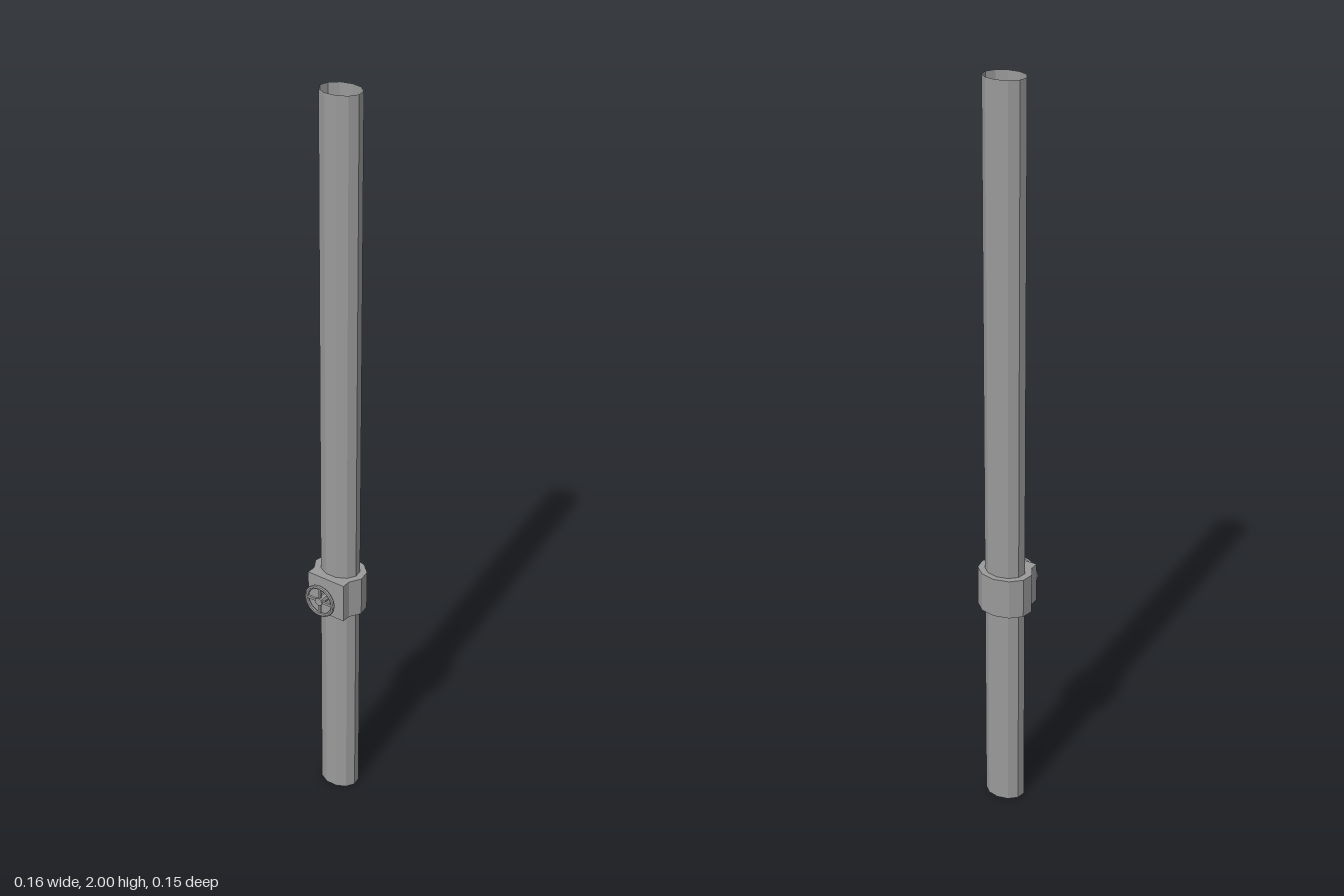
import * as THREE from 'three';

const SIDES = 11, CX = 0.018;

// Point i of an eleven-sided oval centred on the pipe axis
const ovalPoint = (i, rx, rz) => {
  const a = (i / SIDES) * Math.PI * 2;
  return new THREE.Vector2(CX + rx * Math.cos(a), rz * Math.sin(a));
};

export function createModel() {
  const model = new THREE.Group();
  model.name = 'pipeWithValve';
  const color = 0x9a9a9a;
  const solid = new THREE.MeshStandardMaterial({ color, flatShading: true });
  const thin = new THREE.MeshStandardMaterial({ color, flatShading: true, side: THREE.DoubleSide });

  const add = (parent, name, geometry, material = solid) => {
    const mesh = new THREE.Mesh(geometry, material);
    mesh.name = name;
    parent.add(mesh);
    return mesh;
  };

  // Open thin-walled pipe; the quarter turn puts a corner on +x
  const pipe = new THREE.CylinderGeometry(1, 1, 2, SIDES, 1, true);
  pipe.rotateY(Math.PI / 2).scale(0.0438, 1, 0.0555).translate(CX, 1, 0);
  add(model, 'pipe', pipe, thin);

  // Collar: oval outside with a squared-off valve face on -x, bored for the pipe
  const outline = [];
  for (let i = -4; i <= 4; i++) outline.push(ovalPoint(i, 0.0595, 0.075));
  outline.push(new THREE.Vector2(-0.046, 0.057), new THREE.Vector2(-0.046, -0.057));
  const collarShape = new THREE.Shape(outline);
  const bore = [];
  for (let i = 0; i < SIDES; i++) bore.push(ovalPoint(-i, 0.044, 0.0558));
  collarShape.holes.push(new THREE.Path(bore));
  const collar = new THREE.ExtrudeGeometry(collarShape, { depth: 0.11, bevelEnabled: false });
  collar.rotateX(-Math.PI / 2).translate(0, 0.592, 0);
  add(model, 'collar', collar);

  // Handwheel facing -x
  const wheel = new THREE.Group();
  wheel.name = 'handwheel';
  wheel.position.set(-0.072, 0.648, 0);
  model.add(wheel);
  add(wheel, 'rim', new THREE.TorusGeometry(0.0415, 0.0055, 8, 16).rotateY(Math.PI / 2));
  add(wheel, 'hub', new THREE.CylinderGeometry(0.0115, 0.0115, 0.012, 8).rotateZ(Math.PI / 2));
  const stem = add(wheel, 'stem', new THREE.CylinderGeometry(0.0115, 0.0115, 0.03, 8).rotateZ(Math.PI / 2));
  stem.position.x = 0.014;
  for (let i = 0; i < 4; i++) {
    const spoke = new THREE.BoxGeometry(0.006, 0.034, 0.007).translate(0, 0.024, 0);
    add(wheel, 'spoke', spoke.rotateX((i * Math.PI) / 2));
  }
  return model;
}
